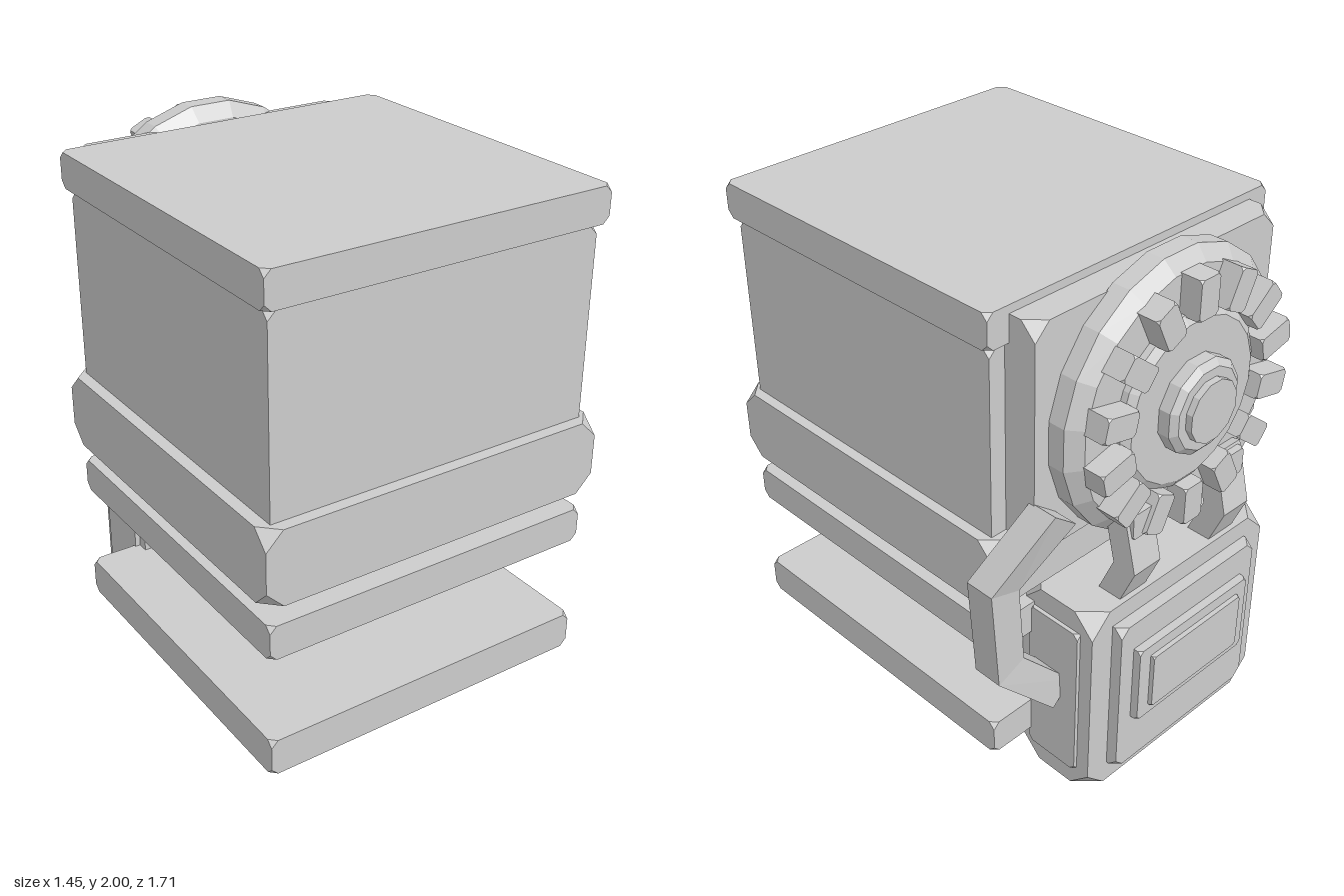
import * as THREE from 'three';
import { ConvexGeometry } from 'three/addons/geometries/ConvexGeometry.js';

const CX = -0.05; // shared centre line of the machine
const WHEEL_Y = 1.49;
const mat = new THREE.MeshStandardMaterial({ color: 0xcccccc, flatShading: true });

function add(parent, name, geometry) {
  const mesh = new THREE.Mesh(geometry, mat);
  mesh.name = name;
  parent.add(mesh);
  return mesh;
}

// Box between two corners, with each of its eight corners cut off by c
function cutBox([x0, x1], [y0, y1], [z0, z1], c) {
  const pts = [];
  for (const sx of [0, 1]) for (const sy of [0, 1]) for (const sz of [0, 1]) {
    const p = new THREE.Vector3(sx ? x1 : x0, sy ? y1 : y0, sz ? z1 : z0);
    pts.push(p.clone().setX(p.x + (sx ? -c : c)));
    pts.push(p.clone().setY(p.y + (sy ? -c : c)));
    pts.push(p.clone().setZ(p.z + (sz ? -c : c)));
  }
  return new ConvexGeometry(pts);
}

// Square bar along a planar path with mitred bends; axis is perpendicular to the path
function bar(path, axis, width, depth) {
  const pts = path.map((p) => new THREE.Vector3(...p));
  const side = new THREE.Vector3(...axis);
  const pos = [], idx = [];
  pts.forEach((p, i) => {
    const a = p.clone().sub(pts[Math.max(i - 1, 0)]).projectOnPlane(side).normalize();
    const b = pts[Math.min(i + 1, pts.length - 1)].clone().sub(p).projectOnPlane(side).normalize();
    const tangent = a.clone().add(b).normalize();
    const n = side.clone().cross(tangent);
    const mitre = a.lengthSq() && b.lengthSq() ? 1 / Math.max(tangent.dot(a), 0.5) : 1;
    for (const [u, v] of [[-1, -1], [1, -1], [1, 1], [-1, 1]]) {
      const q = p.clone().addScaledVector(n, u * width * mitre / 2).addScaledVector(side, v * depth / 2);
      pos.push(q.x, q.y, q.z);
    }
  });
  for (let i = 0; i < pts.length - 1; i++) for (let k = 0; k < 4; k++) {
    const a = i * 4 + k, b = i * 4 + (k + 1) % 4;
    idx.push(a, a + 4, b, b, a + 4, b + 4);
  }
  const e = (pts.length - 1) * 4;
  idx.push(0, 1, 2, 0, 2, 3, e, e + 2, e + 1, e, e + 3, e + 2);
  // orient the faces outwards whichever way the path runs
  let volume = 0;
  const at = (i) => new THREE.Vector3().fromArray(pos, i * 3).sub(pts[0]);
  for (let i = 0; i < idx.length; i += 3) volume += at(idx[i]).dot(at(idx[i + 1]).cross(at(idx[i + 2])));
  if (volume < 0) idx.reverse();
  const g = new THREE.BufferGeometry();
  g.setAttribute('position', new THREE.Float32BufferAttribute(pos, 3));
  g.setIndex(idx);
  const flat = g.toNonIndexed();
  flat.computeVertexNormals();
  return flat;
}

// Turned part around the wheel axis; profile is [radius, distance towards the back]
function turned(profile, sides) {
  const g = new THREE.LatheGeometry(profile.map(([r, d]) => new THREE.Vector2(r, d)), sides, Math.PI / sides);
  return g.rotateX(-Math.PI / 2);
}

export function createModel() {
  const model = new THREE.Group();
  model.name = 'machine';

  // Stacked housing and slabs
  add(model, 'lid', cutBox([-0.71, 0.61], [1.83, 1.96], [-0.48, 0.835], 0.025));
  add(model, 'housing', cutBox([-0.685, 0.585], [1.06, 1.835], [-0.46, 0.81], 0.045));
  add(model, 'baseBand', cutBox([-0.73, 0.625], [0.835, 1.115], [-0.5, 0.855], 0.065));
  add(model, 'upperSlab', cutBox([-0.705, 0.605], [0.62, 0.75], [-0.48, 0.832], 0.025));
  add(model, 'lowerSlab', cutBox([-0.705, 0.605], [0.15, 0.29], [-0.48, 0.832], 0.025));
  add(model, 'wheelMount', cutBox([-0.62, 0.52], [1.07, 1.93], [-0.59, -0.42], 0.06));

  // Lower rear block with side and back panels
  const block = new THREE.Group();
  block.name = 'rearBlock';
  model.add(block);
  add(block, 'blockBody', cutBox([-0.505, 0.405], [0, 0.82], [-0.755, -0.425], 0.085));
  add(block, 'sidePanels', cutBox([-0.525, 0.42], [0.09, 0.735], [-0.7, -0.47], 0.02));
  add(block, 'backPanel', cutBox([-0.405, 0.305], [0.09, 0.745], [-0.8, -0.7], 0.035));
  add(block, 'backPlate', cutBox([-0.34, 0.24], [0.31, 0.63], [-0.832, -0.78], 0.015));
  add(block, 'backInset', cutBox([-0.285, 0.185], [0.355, 0.585], [-0.85, -0.81], 0.01));

  // Toothed wheel on the back
  const wheel = new THREE.Group();
  wheel.name = 'wheel';
  wheel.position.set(CX, WHEEL_Y, 0);
  model.add(wheel);
  add(wheel, 'rim', turned([[0, 0.545], [0.46, 0.545], [0.515, 0.585], [0.515, 0.655], [0.465, 0.7], [0, 0.7]], 20));
  add(wheel, 'innerDisc', turned([[0, 0.68], [0.33, 0.68], [0.33, 0.725], [0.3, 0.745], [0, 0.745]], 20));
  add(wheel, 'hub', turned([[0, 0.72], [0.175, 0.72], [0.175, 0.79], [0.15, 0.81], [0, 0.81]], 12));
  add(wheel, 'hubCap', turned([[0, 0.79], [0.115, 0.79], [0.115, 0.835], [0, 0.835]], 12));
  const TEETH = 14;
  for (let i = 0; i < TEETH; i++) {
    const tooth = new THREE.Group();
    tooth.rotation.z = (i / TEETH) * Math.PI * 2;
    tooth.name = 'toothArm';
    wheel.add(tooth);
    add(tooth, 'tooth', cutBox([-0.045, 0.045], [0.32, 0.465], [-0.782, -0.68], 0.012));
  }

  // Pair of bent links from the wheel down to the block
  for (const s of [-1, 1]) {
    const x = CX + s * 0.235;
    add(model, 'link', bar([[x, 1.18, -0.69], [x, 0.96, -0.745], [x, 0.76, -0.66]], [1, 0, 0], 0.09, 0.13));
    add(model, 'linkClamp', cutBox([x - 0.05, x + 0.05], [1.08, 1.18], [-0.765, -0.66], 0.012));
  }

  // Large bent arm on the left side
  const arm = [[0.47, 1.245, -0.625], [0.66, 1.005, -0.545], [0.63, 0.645, -0.54], [0.41, 0.415, -0.568]];
  add(model, 'sideArm', bar(arm, [0, 0, 1], 0.12, 0.115));

  return model;
}
